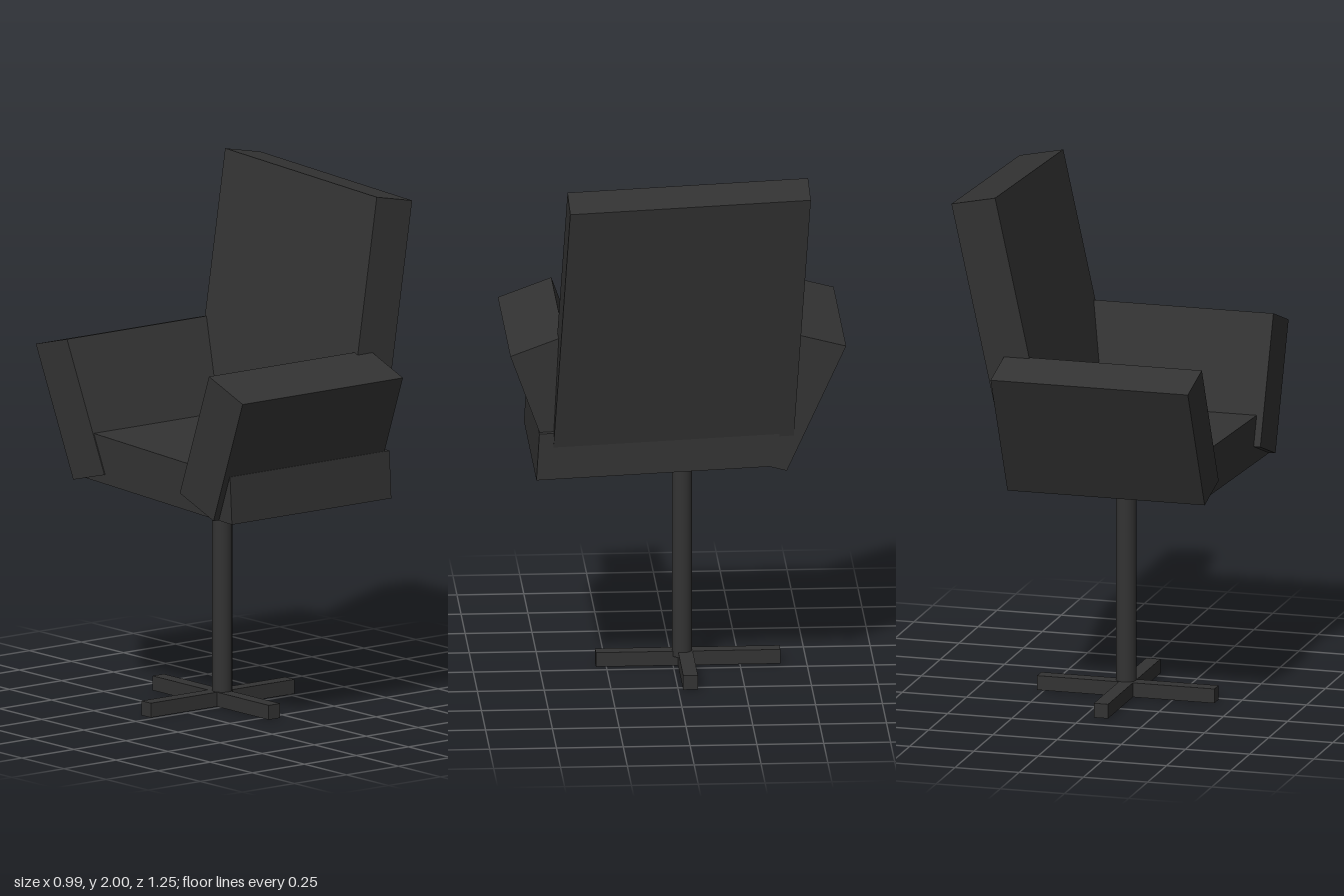
import * as THREE from 'three';

export function createModel() {
  const model = new THREE.Group();
  model.name = 'pedestalArmchair';
  const charcoal = new THREE.MeshStandardMaterial({ color: 0x333333 });
  charcoal.name = 'charcoal';

  const add = (name, geometry) => {
    const mesh = new THREE.Mesh(geometry, charcoal);
    mesh.name = name;
    model.add(mesh);
    return mesh;
  };

  // Skewed box: lowest corner plus edges running along +x, upwards and along +z
  const slab = (name, corner, ex, ey, ez) => {
    const matrix = new THREE.Matrix4()
      .makeBasis(new THREE.Vector3(...ex), new THREE.Vector3(...ey), new THREE.Vector3(...ez))
      .setPosition(...corner);
    const geometry = new THREE.BoxGeometry(1, 1, 1).translate(0.5, 0.5, 0.5);
    return add(name, geometry.applyMatrix4(matrix));
  };

  // Cushions; the chair faces -x and is slightly skewed
  slab('seat', [-0.469, 0.872, -0.37], [0.766, 0, 0], [0, 0.18, -0.011], [0, -0.039, 0.902]);
  slab('backrest', [0.12, 1.0, -0.43], [0.17, -0.035, 0], [0.2, 1.0, -0.053], [0, -0.04, 0.9]);

  // Armrests, leaning outwards
  slab('armrestFar', [-0.473, 0.853, -0.405], [0.768, 0, 0], [0, 0.482, -0.222], [0, 0.048, 0.185]);
  slab('armrestNear', [-0.495, 0.912, 0.255], [0.77, 0, 0], [0, 0.473, 0.173], [0, -0.074, 0.2]);

  // Column
  add('column', new THREE.CylinderGeometry(0.038, 0.038, 0.79, 32)).position.set(-0.058, 0.43, -0.034);

  // Crossed foot bars
  add('footBarLong', new THREE.BoxGeometry(0.69, 0.055, 0.055)).position.set(-0.068, 0.0275, -0.046);
  add('footBarCross', new THREE.BoxGeometry(0.055, 0.055, 0.69)).position.set(-0.068, 0.0275, -0.056);

  return model;
}
